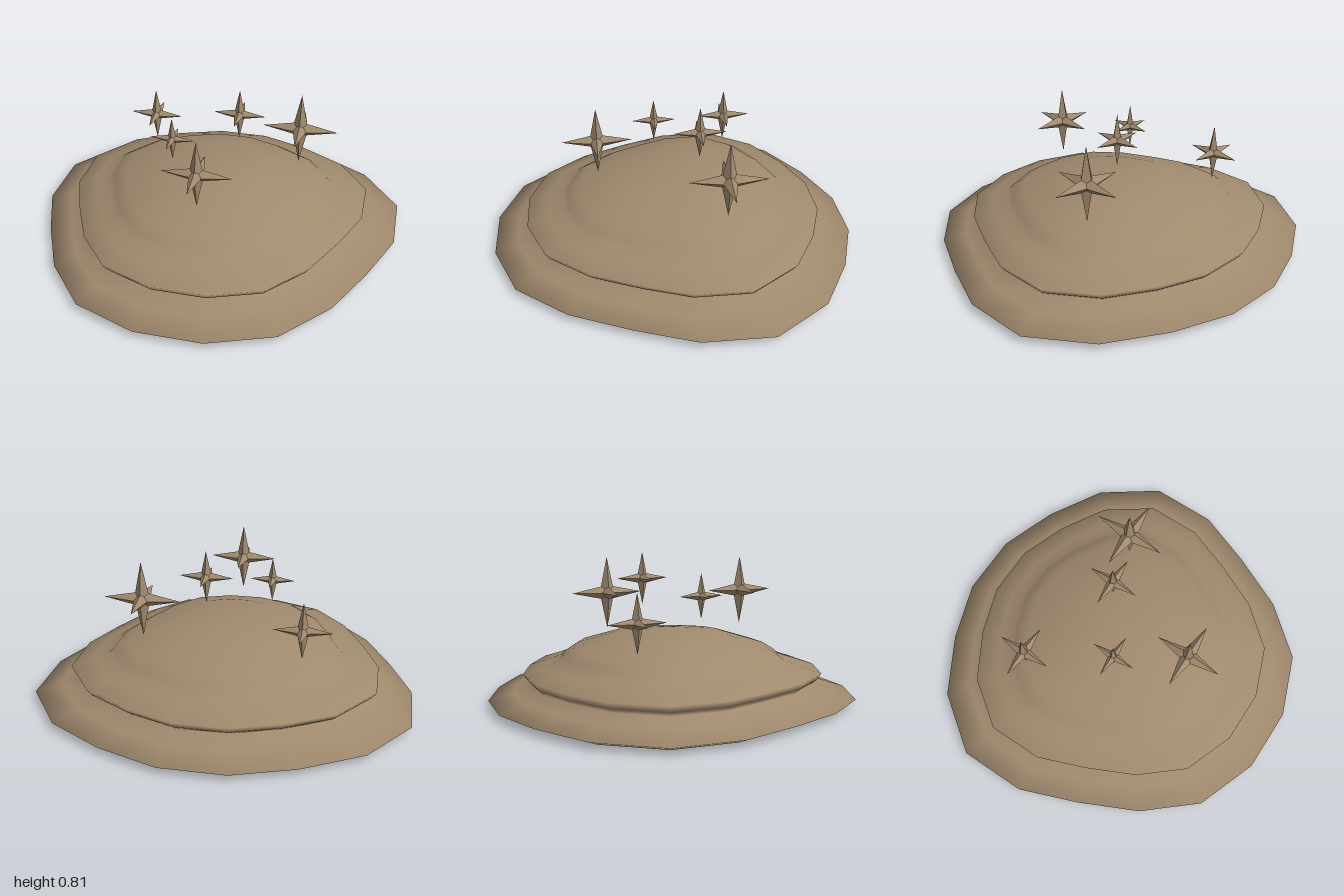
import * as THREE from 'three';

// Half of the rounded, front-tapering outline (x, z), from back to front
const HALF = [
  [0.17, -0.98], [0.485, -0.87], [0.787, -0.695], [1.0, -0.396], [1.0, -0.03],
  [0.88, 0.28], [0.733, 0.588], [0.508, 0.85], [0.176, 0.975],
];
const OUTLINE = [...HALF, ...HALF.map(([x, z]) => [-x, z]).reverse()];

// Rings of the mound: outline scale, height, z shift
const RINGS = [
  [0.91, 0, 0], [1, 0.035, 0], [0.87, 0.076, 0], [0.757, 0.108, 0], [0.79, 0.135, 0],
  [0.814, 0.17, 0], [0.7, 0.208, 0], [0.62, 0.235, -0.01], [0.595, 0.26, -0.01],
  [0.53, 0.302, -0.012], [0.305, 0.372, -0.015],
];

function loftMound() {
  const n = OUTLINE.length;
  const pos = [];
  const index = [];
  for (const [s, y, dz] of RINGS) {
    for (const [x, z] of OUTLINE) pos.push(x * s, y, z * s + dz);
  }
  // Side bands
  for (let r = 0; r < RINGS.length - 1; r++) {
    for (let i = 0; i < n; i++) {
      const j = (i + 1) % n;
      const a = r * n + i, b = r * n + j, c = a + n, d = b + n;
      index.push(a, c, b, b, c, d);
    }
  }
  // Crown fan
  const apex = pos.length / 3;
  pos.push(0, 0.405, -0.03);
  const top = (RINGS.length - 1) * n;
  for (let i = 0; i < n; i++) index.push(top + i, apex, top + (i + 1) % n);
  // Flat underside with its own vertices for a sharp rim
  const under = pos.length / 3;
  for (const [x, z] of OUTLINE) pos.push(x * RINGS[0][0], 0, z * RINGS[0][0]);
  pos.push(0, 0, 0);
  for (let i = 0; i < n; i++) index.push(under + i, under + (i + 1) % n, under + n);

  const geo = new THREE.BufferGeometry();
  geo.setAttribute('position', new THREE.Float32BufferAttribute(pos, 3));
  geo.setIndex(index);
  geo.computeVertexNormals();
  return geo;
}

export function createModel() {
  const model = new THREE.Group();
  model.name = 'moundWithStars';
  const clay = new THREE.MeshStandardMaterial({ color: 0xa08a6e });
  clay.name = 'clayBrown';

  const mound = new THREE.Mesh(loftMound(), clay);
  mound.name = 'mound';
  model.add(mound);

  // Six-pointed stars: three crossed slender double spikes (x, y, z, radius)
  const spikeGeo = new THREE.OctahedronGeometry(1, 0);
  const stars = [
    [0, 0.592, 0.4, 0.185],
    [0.425, 0.558, -0.243, 0.205],
    [-0.43, 0.493, -0.348, 0.152],
    [0.105, 0.665, -0.137, 0.142],
    [-0.215, 0.59, 0.078, 0.12],
  ];
  stars.forEach(([x, y, z, r], i) => {
    const star = new THREE.Group();
    star.name = `star${i + 1}`;
    star.position.set(x, y, z);
    for (const axis of ['x', 'y', 'z']) {
      const spike = new THREE.Mesh(spikeGeo, clay);
      spike.name = `${axis}Spike`;
      spike.scale.setScalar(r * 0.21);
      spike.scale[axis] = r;
      star.add(spike);
    }
    model.add(star);
  });
  return model;
}
